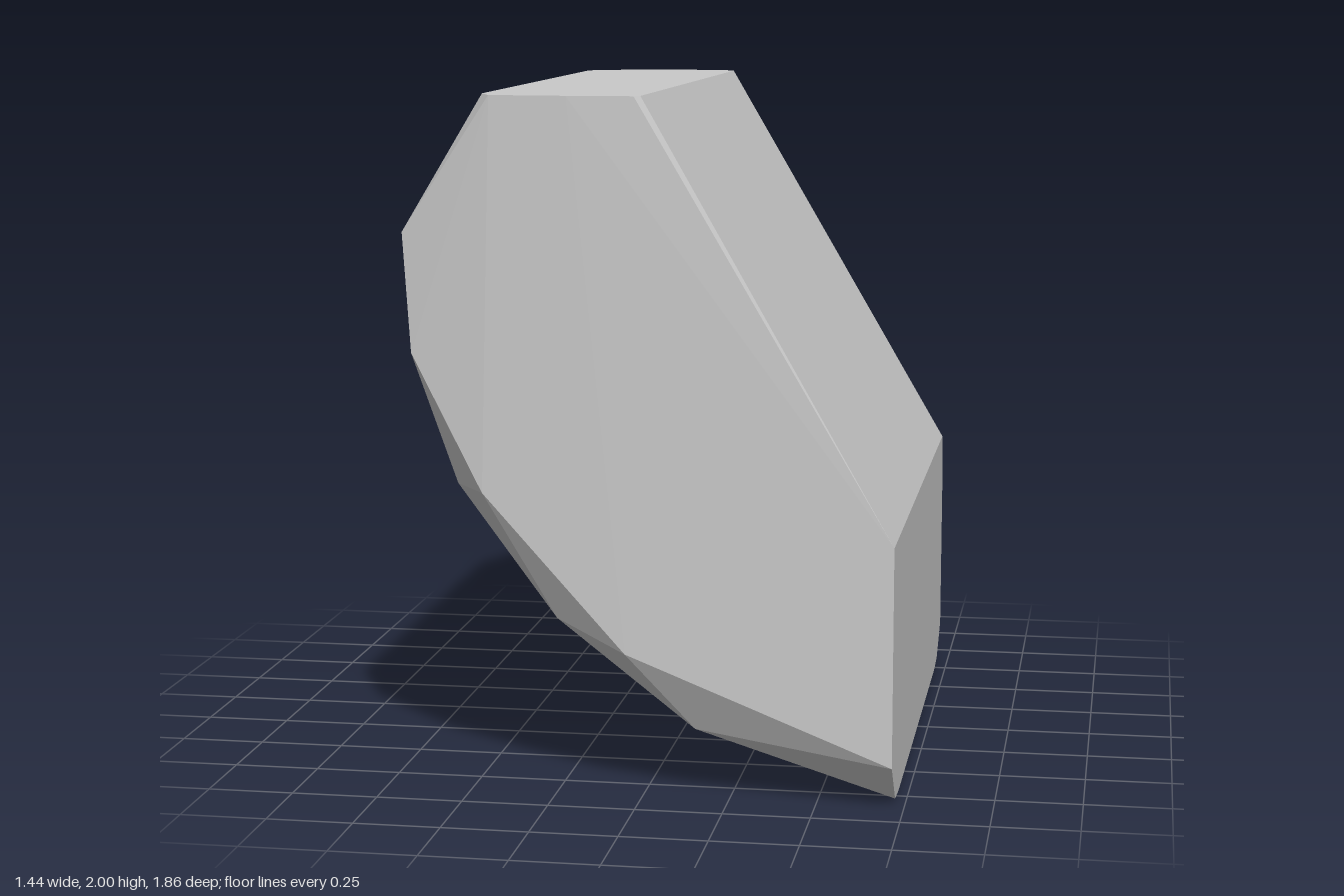
import * as THREE from 'three';
import { ConvexGeometry } from 'three/addons/geometries/ConvexGeometry.js';

export function createModel() {
  const group = new THREE.Group();
  group.name = 'facetedBlock';

  const stone = new THREE.MeshStandardMaterial({ color: 0xc8c8c8, flatShading: true });
  stone.name = 'pale stone grey';

  // Front cap: the flat face, then the chamfered rim behind it
  const frontFace = [
    [0.005, 2, 0.9], [-0.01, 2, 0.923], [-0.2, 2, 0.927], [-0.42, 2, 0.915], [-0.69, 1.61, 0.85],
    [-0.66, 1.27, 0.88], [-0.45, 0.88, 0.918], [-0.04, 0.43, 0.928], [0.72, 0.13, 0.927],
    [0.72, 0.76, 0.923],
  ];
  const frontRim = [
    [-0.46, 2, 0.82], [-0.72, 1.39, 0.45], [-0.54, 0.89, 0.83],
    [-0.25, 0.51, 0.85], [0.15, 0.2, 0.85], [0.72, 0.01, 0.81], [0.72, 0, 0.7],
  ];

  // Back cap, with a wider chamfer on the curved side
  const backFace = [
    [0.005, 2, -0.87], [-0.04, 2, -0.928], [-0.33, 2, -0.92], [-0.62, 1.58, -0.915],
    [-0.61, 1.35, -0.92], [-0.42, 0.9, -0.92], [0.32, 0.22, -0.915],
    [0.72, 0.12, -0.915], [0.72, 0.58, -0.925], [0.72, 0.77, -0.895],
  ];
  const backRim = [
    [-0.48, 2, -0.82], [-0.66, 1.72, -0.8], [-0.72, 1.54, -0.81], [-0.72, 1.38, -0.8],
    [-0.7, 1.27, -0.81], [-0.63, 1.06, -0.82], [-0.38, 0.66, -0.82], [0, 0.3, -0.82],
    [0.46, 0.07, -0.77], [0.72, 0.03, -0.77], [0.72, 0.015, -0.66],
  ];

  // The block is the convex skin around both caps
  const points = [...frontFace, ...frontRim, ...backFace, ...backRim]
    .map(([x, y, z]) => new THREE.Vector3(x, y, z));
  const block = new THREE.Mesh(new ConvexGeometry(points), stone);
  block.name = 'block';
  group.add(block);
  return group;
}
